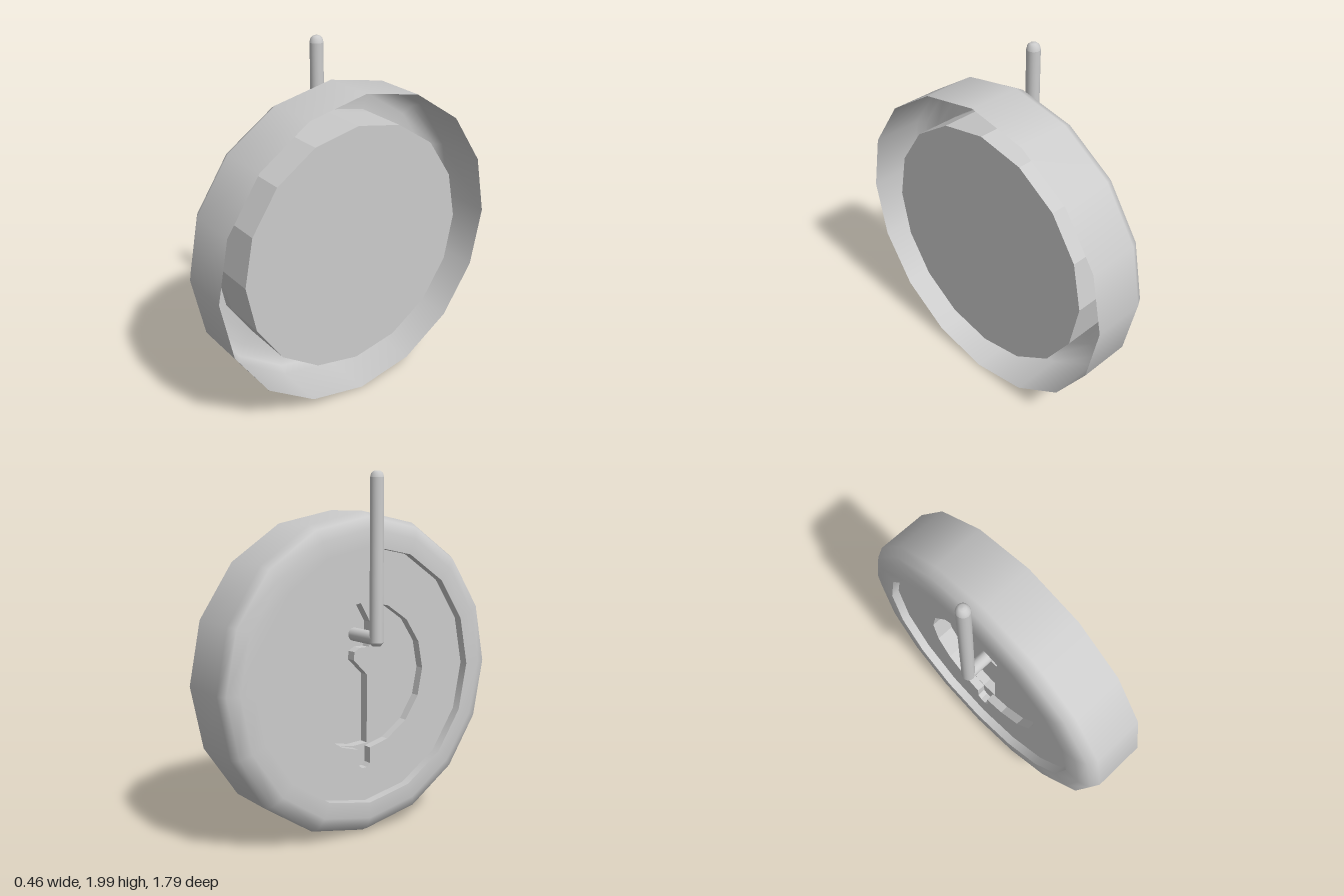
import * as THREE from 'three';

const SIDES = 16, CENTRE_Y = 0.9, DISC_R = 0.71;
const grey = new THREE.MeshStandardMaterial({ color: 0xcccccc, side: THREE.DoubleSide });

function add(parent, name, geometry) {
  const mesh = new THREE.Mesh(geometry, grey);
  mesh.name = name;
  parent.add(mesh);
  return mesh;
}

// Points on the 16-sided ring, from angle a to angle b in steps
function ring(r, from = 0, to = SIDES) {
  const pts = [];
  for (let i = from; i <= to; i++) {
    const a = (i / SIDES) * Math.PI * 2;
    pts.push(new THREE.Vector2(r * Math.cos(a), r * Math.sin(a)));
  }
  return pts;
}

const v2 = (list) => list.map(([x, y]) => new THREE.Vector2(x, y));

// Turned part around the x axis: profile of [radius, x]
function turned(profile) {
  return new THREE.LatheGeometry(v2(profile), SIDES).rotateZ(-Math.PI / 2);
}

// Disc with a cut-out, lying between two x positions (shape x becomes z)
function plate(xInner, xOuter, hole) {
  const shape = new THREE.Shape(ring(DISC_R, 0, SIDES - 1));
  if (hole) shape.holes.push(new THREE.Path(hole));
  return new THREE.ExtrudeGeometry(shape, { depth: xInner - xOuter, bevelEnabled: false })
    .rotateY(-Math.PI / 2)
    .translate(xInner, 0, 0);
}

export function createModel() {
  const model = new THREE.Group();
  model.name = 'wheelWithHandle';

  const wheel = new THREE.Group();
  wheel.name = 'wheel';
  wheel.position.y = CENTRE_Y;
  model.add(wheel);

  // Thin outer shell, open towards +x, rounded towards -x
  add(wheel, 'shell', turned([
    [DISC_R, -0.145], [0.8, -0.145], [0.865, -0.12], [0.893, -0.07], [0.893, 0.225],
  ]));

  // Wall around the sunken disc
  add(wheel, 'recessWall', turned([[DISC_R, -0.145], [DISC_R, -0.09]]));

  // Front plate: round opening with a small slot at the bottom
  const slot = v2([[-0.045, -0.41], [-0.045, -0.5], [-0.02, -0.52], [0.015, -0.52], [0.035, -0.5], [0.035, -0.41]]);
  const opening = [...ring(0.41, -3, 11), ...slot];
  add(wheel, 'frontPlate', plate(-0.045, -0.095, opening));

  // Middle plate: deeper half-round pocket with a notch for the handle
  const pocket = [
    ...ring(0.41, 4, 11),
    ...v2([[-0.045, -0.4], [0.05, -0.395], [0.05, -0.005], [-0.04, 0.085], [-0.035, 0.13],
      [0, 0.15], [0.06, 0.15], [0.075, 0.19], [0.07, 0.29]]),
  ];
  add(wheel, 'middlePlate', plate(0.01, -0.045, pocket));

  // Solid back of the disc
  add(wheel, 'backPlate', plate(0.17, 0.01));

  // Handle: upright rod with rounded ends and a short arm into the pocket
  const handle = new THREE.Group();
  handle.name = 'handle';
  handle.position.x = -0.195;
  model.add(handle);
  const rod = v2([[0, 1.08], [0.025, 1.082], [0.037, 1.1], [0.037, 1.1],
    [0.037, 1.965], [0.037, 1.965], [0.031, 1.987], [0.018, 1.998], [0, 2]]);
  add(handle, 'rod', new THREE.LatheGeometry(rod, SIDES));
  add(handle, 'arm', new THREE.CylinderGeometry(0.037, 0.037, 0.205, SIDES)
    .rotateZ(Math.PI / 2).translate(0.1025, 1.12, 0));

  return model;
}
